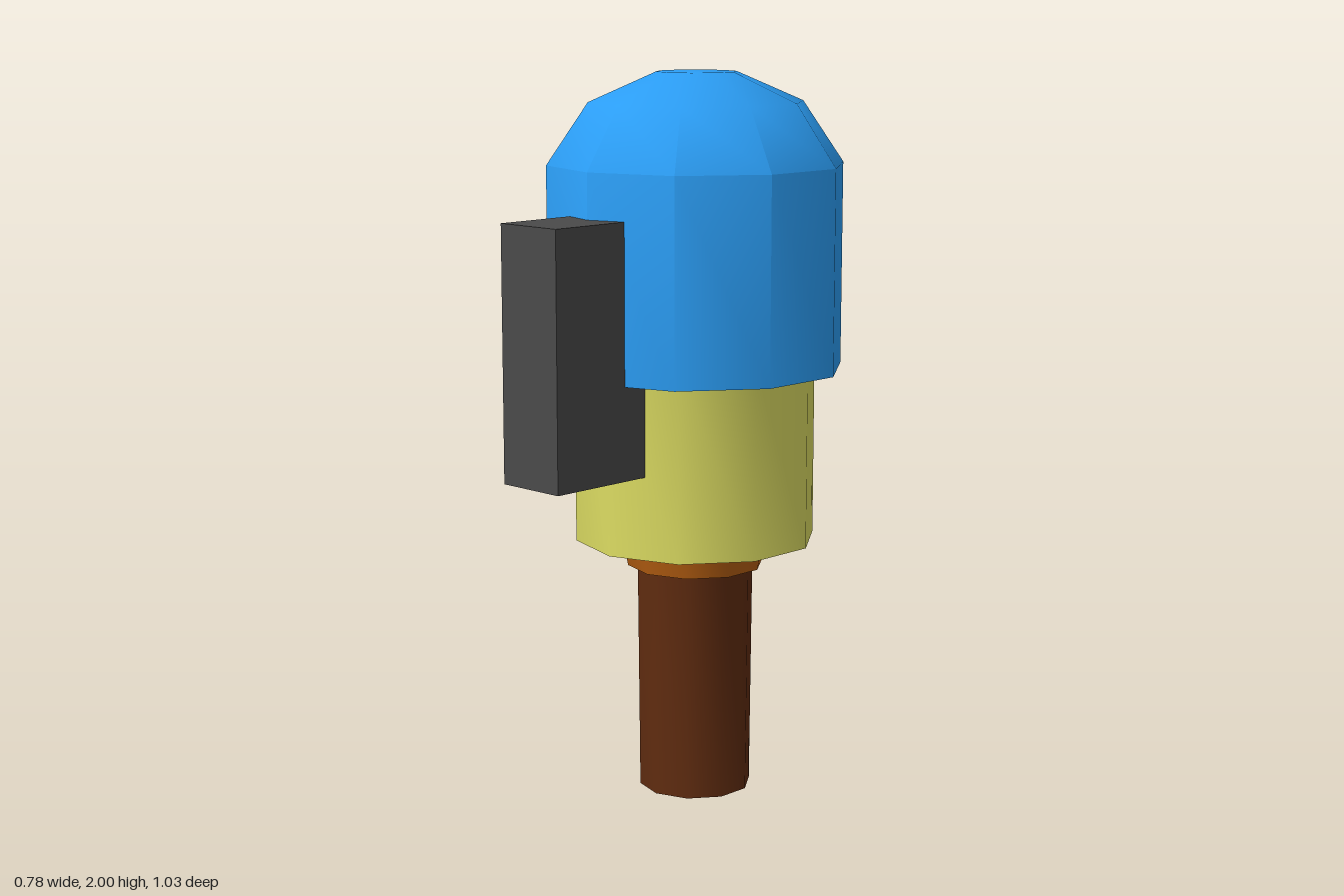
import * as THREE from 'three';
import { toCreasedNormals } from 'three/addons/utils/BufferGeometryUtils.js';

const AXIS_Z = -0.104; // shared axis of all turned parts

// Ten-sided turned part: smooth around, sharp at right-angled rims
function turned(name, color, profile, side = THREE.FrontSide) {
  const points = profile.map(([r, y]) => new THREE.Vector2(r, y));
  const geometry = toCreasedNormals(new THREE.LatheGeometry(points, 10), 0.8);
  const mesh = new THREE.Mesh(geometry, new THREE.MeshStandardMaterial({ color, side }));
  mesh.name = name;
  mesh.position.z = AXIS_Z;
  return mesh;
}

export function createModel() {
  const model = new THREE.Group();
  model.name = 'model';

  // Open tube at the bottom
  model.add(turned('stem', 0x602c10, [[0.157, 0], [0.163, 0.66]], THREE.DoubleSide));

  // Flared plug running up into the hollow collar
  model.add(turned('flare', 0xb86012, [[0, 0.64], [0.19, 0.64], [0.25, 0.92], [0, 0.92]]));

  // Collar, hollow from below
  model.add(turned('collar', 0xdcdc62,
    [[0, 0.92], [0.28, 0.92], [0.28, 0.717], [0.335, 0.717], [0.335, 1.25], [0, 1.25]]));

  // Domed cap with a flat underside
  model.add(turned('cap', 0x2b9df4,
    [[0, 1.197], [0.409, 1.197], [0.409, 1.753], [0.295, 1.92], [0.11, 2], [0, 2]]));

  // Upright block on the front
  const block = new THREE.Mesh(
    new THREE.BoxGeometry(0.206, 0.685, 0.36),
    new THREE.MeshStandardMaterial({ color: 0x4a4a4a })
  );
  block.name = 'frontBlock';
  block.position.set(0, 1.287, 0.333);
  model.add(block);

  return model;
}
